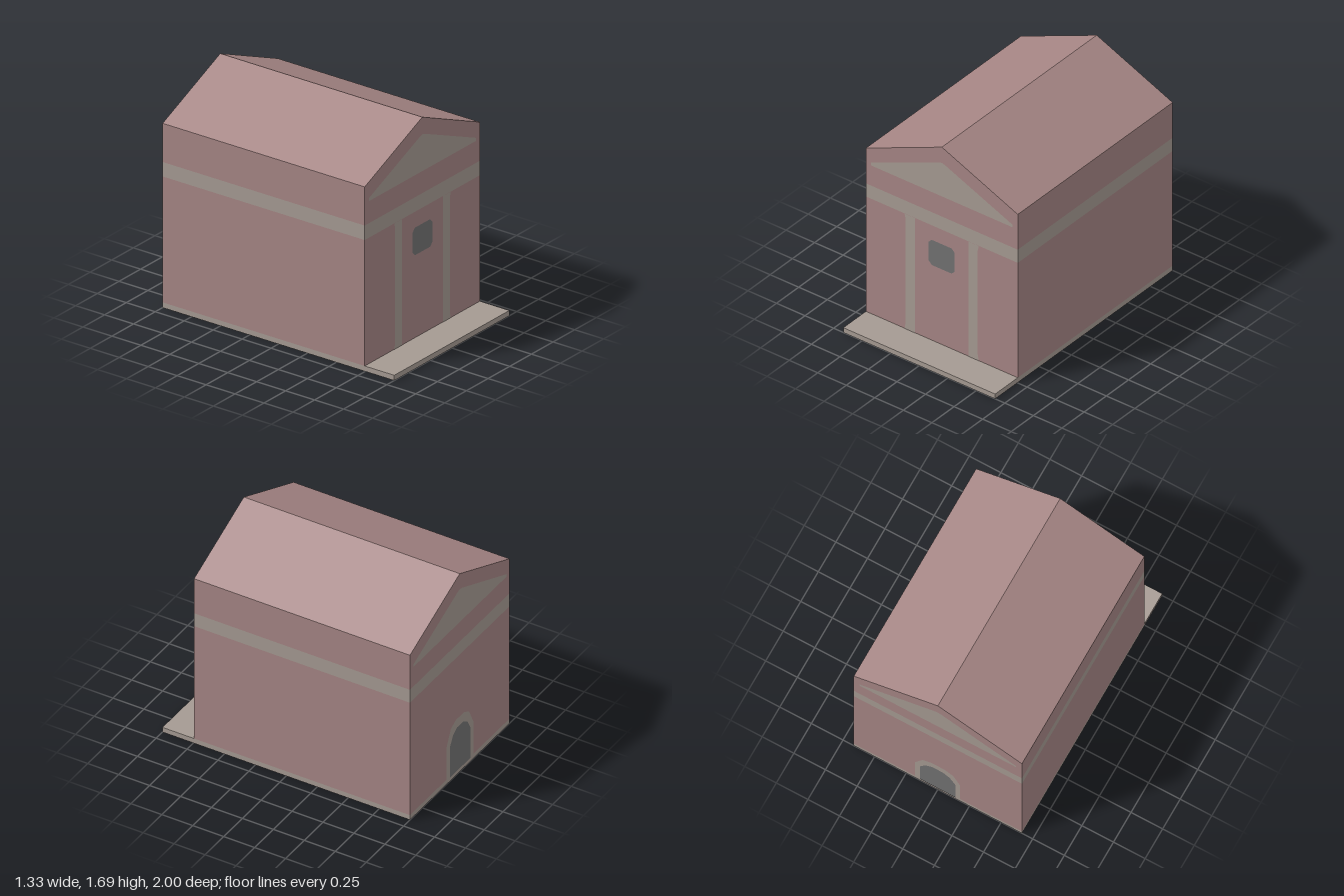
import * as THREE from 'three';

const W = 0.665, BACK = -1, FRONT = 0.745;

export function createModel() {
  const model = new THREE.Group();
  model.name = 'gabledBuilding';

  const mat = (name, color) => {
    const m = new THREE.MeshStandardMaterial({ color });
    m.name = name;
    return m;
  };
  const wallPink = mat('wallPink', 0xa58584);
  const trimStone = mat('trimStone', 0xa59a92);
  const openingGrey = mat('openingGrey', 0x717171);

  const add = (name, geometry, material, parent = model) => {
    const mesh = new THREE.Mesh(geometry, material);
    mesh.name = name;
    parent.add(mesh);
    return mesh;
  };
  const shapeOf = (points) => new THREE.Shape(points.map(([x, y]) => new THREE.Vector2(x, y)));

  // Horizontal layer of the building between two heights
  const layer = (name, y0, y1, z0, z1, material) => {
    const g = new THREE.BoxGeometry(W * 2, y1 - y0, z1 - z0);
    g.translate(0, (y0 + y1) / 2, (z0 + z1) / 2);
    return add(name, g, material);
  };
  layer('baseSlab', 0, 0.04, BACK, 1, trimStone);
  layer('lowerWalls', 0.04, 1.0, BACK, FRONT, wallPink);
  layer('wallBand', 1.0, 1.11, BACK, FRONT, trimStone);

  // Upper walls and pitched roof
  const gable = shapeOf([[-W, 1.11], [W, 1.11], [W, 1.405], [0, 1.69], [-W, 1.405]]);
  const roof = new THREE.ExtrudeGeometry(gable, { depth: FRONT - BACK, bevelEnabled: false });
  roof.translate(0, 0, BACK);
  add('gableAndRoof', roof, wallPink);

  // Groups for painted details, each drawn facing its own +z
  const frontDetails = new THREE.Group();
  frontDetails.name = 'frontDetails';
  frontDetails.position.z = FRONT;
  const backDetails = new THREE.Group();
  backDetails.name = 'backDetails';
  backDetails.position.z = BACK;
  backDetails.rotation.y = Math.PI;
  model.add(frontDetails, backDetails);

  const plate = (name, shape, material, parent, lift = 0.002) => {
    add(name, new THREE.ShapeGeometry(shape), material, parent).position.z = lift;
  };

  // Pediment panels on both gables
  const pediment = shapeOf([
    [-0.62, 1.28], [0.62, 1.28], [0.62, 1.302], [0.03, 1.552], [0, 1.56], [-0.03, 1.552], [-0.62, 1.302],
  ]);
  plate('frontPediment', pediment, trimStone, frontDetails);
  plate('backPediment', pediment, trimStone, backDetails);

  // Front pilasters with slightly widened feet
  for (const s of [-1, 1]) {
    const pts = [[0.235, 0.04], [0.325, 0.04], [0.316, 0.09], [0.316, 0.96], [0.325, 1.0], [0.235, 1.0]]
      .map(([x, y]) => [s * x, y]);
    plate(s > 0 ? 'leftPilaster' : 'rightPilaster', shapeOf(pts), trimStone, frontDetails);
  }

  // Front window with chamfered corners
  const wx = 0.114, c = 0.027;
  plate('frontWindow', shapeOf([
    [-wx + c, 0.67], [wx - c, 0.67], [wx, 0.67 + c], [wx, 0.88 - c],
    [wx - c, 0.88], [-wx + c, 0.88], [-wx, 0.88 - c], [-wx, 0.67 + c],
  ]), openingGrey, frontDetails);

  // Arched back door and its surround
  const arch = (half, y0, shoulder, top) => shapeOf([
    [-half, y0], [half, y0], [half, shoulder], [half * 0.68, top - 0.035], [half * 0.3, top],
    [-half * 0.3, top], [-half * 0.68, top - 0.035], [-half, shoulder],
  ]);
  plate('backDoorSurround', arch(0.178, 0.04, 0.32, 0.475), trimStone, backDetails);
  plate('backDoor', arch(0.14, 0.035, 0.29, 0.405), openingGrey, backDetails, 0.004);

  return model;
}
